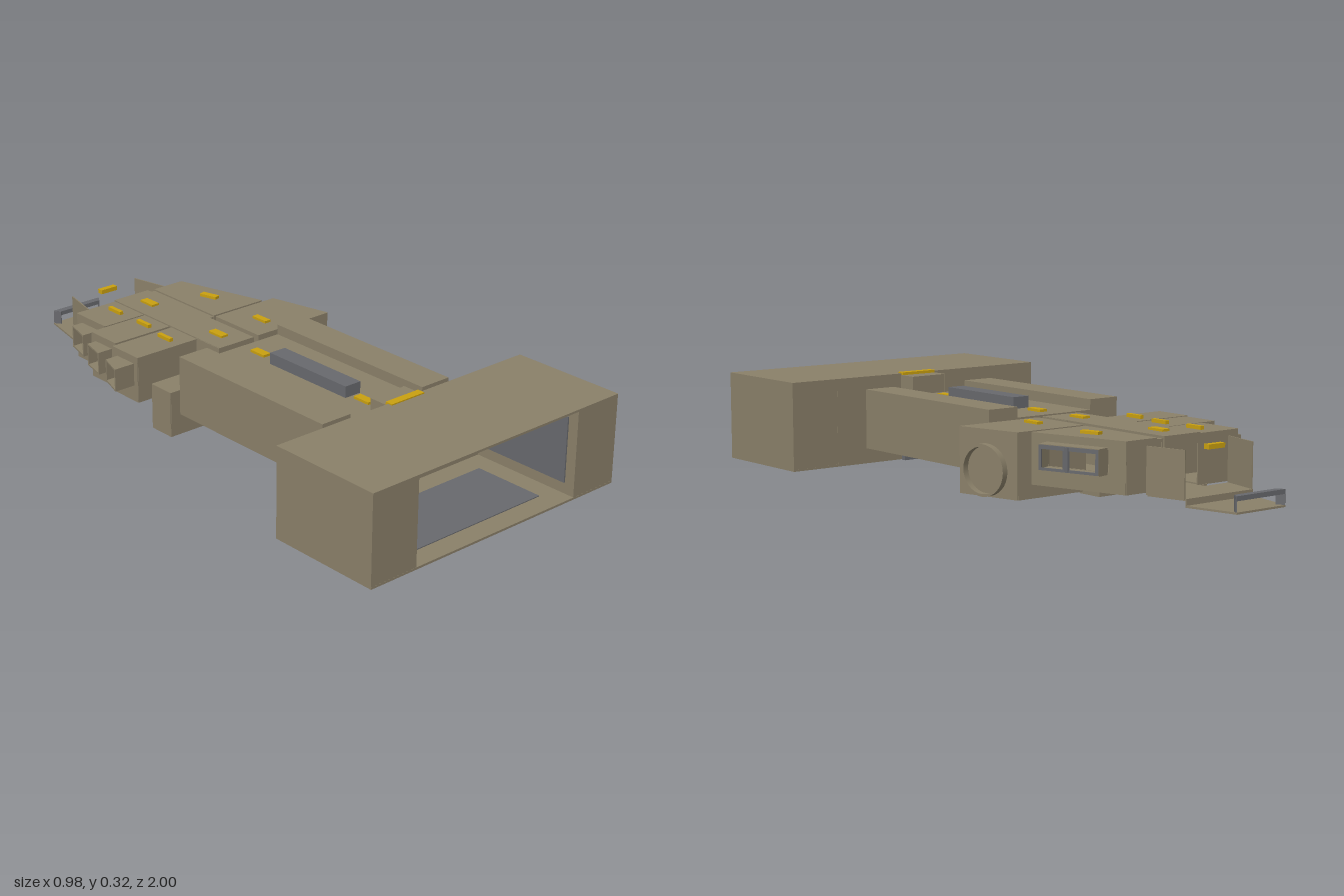
import * as THREE from 'three';

const mat = (name, color) => {
  const m = new THREE.MeshStandardMaterial({ color, side: THREE.DoubleSide });
  m.name = name;
  return m;
};

export function createModel() {
  const model = new THREE.Group();
  model.name = 'shipInterior';
  const hull = mat('hullTan', 0x8a8069);
  const metal = mat('metalGray', 0x68696d);
  const light = mat('lampYellow', 0xc9a010);

  const add = (parent, name, geo, m = hull) => {
    const mesh = new THREE.Mesh(geo, m);
    mesh.name = name;
    parent.add(mesh);
    return mesh;
  };
  const part = (name) => {
    const g = new THREE.Group();
    g.name = name;
    model.add(g);
    return g;
  };
  // box given by its limits
  const box = (parent, name, x0, x1, y0, y1, z0, z1, m) => {
    const g = new THREE.BoxGeometry(x1 - x0, y1 - y0, z1 - z0);
    return add(parent, name, g.translate((x0 + x1) / 2, (y0 + y1) / 2, (z0 + z1) / 2), m);
  };
  // horizontal slab from [x, z] corners
  const slab = (parent, name, pts, y0, y1, m) => {
    const s = new THREE.Shape(pts.map(([x, z]) => new THREE.Vector2(x, -z)));
    const g = new THREE.ExtrudeGeometry(s, { depth: y1 - y0, bevelEnabled: false });
    return add(parent, name, g.rotateX(-Math.PI / 2).translate(0, y0, 0), m);
  };
  // upright wall from a to b; hole = [start, end, bottom, top]
  const wall = (parent, name, a, b, y0, y1, hole, m) => {
    const len = Math.hypot(b[0] - a[0], b[1] - a[1]);
    const rect = (C, u0, u1, v0, v1) => new C([[u0, v0], [u1, v0], [u1, v1], [u0, v1]]
      .map(([u, v]) => new THREE.Vector2(u, v)));
    const s = rect(THREE.Shape, 0, len, y0, y1);
    if (hole) s.holes.push(rect(THREE.Path, ...hole));
    const g = new THREE.ExtrudeGeometry(s, { depth: 0.004, bevelEnabled: false }).translate(0, 0, -0.002);
    const w = add(parent, name, g, m);
    w.position.set(a[0], 0, a[1]);
    w.rotation.y = Math.atan2(a[1] - b[1], b[0] - a[0]);
    return w;
  };
  // hollow room: floor, roof and a wall on each edge unless that edge is open
  const room = (name, pts, y0, y1, open = [], holes = {}) => {
    const g = part(name);
    slab(g, 'floor', pts, y0, y0 + 0.005);
    slab(g, 'roof', pts, y1 - 0.005, y1);
    pts.forEach((p, i) => {
      if (!open.includes(i)) wall(g, 'wall', p, pts[(i + 1) % pts.length], y0, y1, holes[i]);
    });
    return g;
  };
  const rect = (x0, x1, z0, z1) => [[x0, z1], [x1, z1], [x1, z0], [x0, z0]];

  // hangar with open front and a doorway at the back
  const hangar = part('hangar');
  box(hangar, 'floor', -0.49, 0.49, 0.027, 0.034, 0.615, 1);
  box(hangar, 'roof', -0.49, 0.49, 0.308, 0.315, 0.615, 1);
  wall(hangar, 'backWall', [-0.32, 0.617], [0.32, 0.617], 0.027, 0.312, [0.255, 0.385, 0.03, 0.25]);
  for (const s of [-1, 1]) {
    box(hangar, 'sideBlock', s < 0 ? -0.49 : 0.32, s < 0 ? -0.32 : 0.49, 0.0275, 0.3145, 0.6155, 0.9995);
    box(hangar, 'sidePanel', s * 0.318 - 0.003, s * 0.318 + 0.003, 0.07, 0.28, 0.66, 0.965, metal);
  }
  box(hangar, 'floorPanel', -0.25, 0.25, 0.033, 0.037, 0.69, 0.93, metal);
  box(hangar, 'doorLamp', -0.065, 0.065, 0.29, 0.319, 0.606, 0.632, light);

  // neck with stairs
  const neck = part('neck');
  for (const x of [-0.065, 0.065]) {
    wall(neck, 'sideWall', [x, 0.545], [x, 0.615], 0.085, 0.31);
    slab(neck, 'stairSide', [[x - 0.002, 0.545], [x + 0.002, 0.545], [x + 0.002, 0.615], [x - 0.002, 0.615]], 0.05, 0.086, metal);
  }
  box(neck, 'roof', -0.065, 0.065, 0.25, 0.31, 0.548, 0.615);
  for (let i = 0; i < 4; i++) {
    box(neck, 'step', -0.065, 0.065, 0.025 + i * 0.016, 0.042 + i * 0.016, 0.598 - i * 0.017, 0.615 - i * 0.017, metal);
  }

  // main hall: raised side strips, sunken middle deck
  const hall = part('mainHall');
  const B = -0.105, F = 0.545;
  box(hall, 'floor', -0.255, 0.255, 0.09, 0.096, B, F);
  box(hall, 'middleDeck', -0.145, 0.145, 0.244, 0.25, B, F);
  for (const s of [-1, 1]) {
    const a = s * 0.145, b = s * 0.255;
    box(hall, 'sideStrip', Math.min(a, b), Math.max(a, b), 0.245, 0.283, B, F);
    wall(hall, 'sideWall', [s * 0.253, B], [s * 0.253, F], 0.09, 0.28);
  }
  for (const z of [B + 0.002, F - 0.002]) {
    wall(hall, 'endWall', [-0.255, z], [0.255, z], 0.09, 0.25, [0.19, 0.32, 0.094, 0.22]);
  }
  box(hall, 'centralCore', -0.03, 0.03, 0.078, 0.287, 0.06, 0.4, metal);

  // corridor spine
  const spine = part('corridor');
  box(spine, 'floor', -0.1, 0.1, 0.09, 0.096, -0.68, -0.135);
  box(spine, 'roof', -0.07, 0.07, 0.235, 0.251, -0.68, -0.135);
  box(spine, 'frontSill', -0.07, 0.07, 0.09, 0.096, -0.135, B);
  box(spine, 'rearSill', -0.07, 0.075, 0.09, 0.096, -0.71, -0.68);
  for (const z of [-0.137, -0.678]) {
    wall(spine, 'endWall', [-0.07, z], [0.07, z], 0.09, 0.25, [0.008, 0.132, 0.096, 0.22]);
  }
  box(spine, 'sideLink', 0.07, 0.1, 0.235, 0.244, -0.675, -0.365);
  box(spine, 'doorPlate', 0.07, 0.096, 0.096, 0.1, -0.24, -0.137, metal);
  for (const x of [-0.07, 0.07]) wall(spine, 'sideWall', [x, -0.25], [x, -0.135], 0.09, 0.25);

  // three cabins with tapered window boxes: [outer x, z back, z front, window z back, z front, reach]
  [[-0.225, -0.675, -0.525, -0.645, -0.56, 0.065],
    [-0.285, -0.515, -0.39, -0.49, -0.41, 0.055],
    [-0.305, -0.375, -0.25, -0.35, -0.27, 0.075]].forEach(([x, z0, z1, w0, w1, d]) => {
    const g = room('cabin', rect(x, -0.07, z0, z1), 0.095, 0.247, [1], { 3: [w0 - z0, w1 - z0, 0.155, 0.215] });
    const pts = [[x, w0], [x, w1], [x - d, w1], [x - d * 0.65, w0]];
    slab(g, 'windowSill', pts, 0.148, 0.153);
    slab(g, 'windowHood', pts, 0.217, 0.222);
    wall(g, 'windowSide', pts[1], pts[2], 0.148, 0.222);
    wall(g, 'windowSide', pts[3], pts[0], 0.148, 0.222);
  });

  // low locker below the corridor
  room('lowerLocker', rect(-0.26, -0.07, -0.237, -0.145), 0, 0.15);

  // large cabin with a split window
  const lounge = room('loungeCabin', [[0.095, -0.365], [0.3, -0.365], [0.21, -0.675], [0.095, -0.675]],
    0.095, 0.249, [3], { 1: [0.06, 0.265, 0.155, 0.22] });
  const bay = [[0.285, -0.42], [0.33, -0.435], [0.27, -0.625], [0.228, -0.615]];
  slab(lounge, 'baySill', bay, 0.148, 0.154);
  slab(lounge, 'bayHood', bay, 0.22, 0.226);
  wall(lounge, 'baySide', bay[0], bay[1], 0.148, 0.226);
  wall(lounge, 'baySide', bay[2], bay[3], 0.148, 0.226);
  wall(lounge, 'bayFrame', bay[1], bay[2], 0.15, 0.224, [0.008, 0.19, 0.158, 0.212], metal);
  box(lounge, 'bayPost', 0.298, 0.306, 0.152, 0.222, -0.532, -0.51, metal);

  // airlock room with round hatch on its slanted side
  const lock = room('airlock', [[0.095, -0.14], [0.39, -0.14], [0.34, -0.35], [0.095, -0.35]], 0.05, 0.25);
  const hatch = new THREE.Group();
  hatch.name = 'hatch';
  add(hatch, 'rim', new THREE.CylinderGeometry(0.078, 0.078, 0.036, 32, 1, true).rotateZ(Math.PI / 2));
  add(hatch, 'rimEdge', new THREE.RingGeometry(0.07, 0.078, 32).rotateY(Math.PI / 2).translate(0.018, 0, 0));
  add(hatch, 'rimInside', new THREE.CylinderGeometry(0.07, 0.07, 0.036, 32, 1, true).rotateZ(Math.PI / 2));
  hatch.position.set(0.372, 0.13, -0.24);
  hatch.rotation.y = Math.atan2(0.05, 0.21);
  lock.add(hatch);

  // open cockpit with side wings, lower nose floor and a console rail
  const cockpit = part('cockpit');
  slab(cockpit, 'upperFloor', [[-0.16, -0.71], [0.16, -0.71], [0.13, -0.835], [-0.13, -0.835]], 0.092, 0.098);
  slab(cockpit, 'noseFloor', [[-0.13, -0.835], [0.13, -0.835], [0.095, -1], [-0.095, -1]], 0.073, 0.079);
  wall(cockpit, 'floorStep', [-0.13, -0.835], [0.13, -0.835], 0.073, 0.098);
  for (const s of [-1, 1]) {
    wall(cockpit, 'wing', [s * 0.16, -0.705], [s * 0.131, -0.832], 0.095, 0.235);
    wall(cockpit, 'railPost', [s * 0.095, -0.998], [s * 0.08, -0.976], 0.079, 0.123, null, metal);
  }
  slab(cockpit, 'consoleRail', [[-0.08, -0.976], [0.08, -0.976], [0.095, -0.999], [-0.095, -0.999]], 0.11, 0.124, metal);
  box(cockpit, 'lamp', -0.032, 0.032, 0.226, 0.24, -0.822, -0.802, light);

  // roof lamps: [x, z, width, turn]
  const lamps = part('roofLamps');
  [[0, 0.45, 0.028, 0], [0, -0.02, 0.028, 0], [0, -0.225, 0.028, 0], [0, -0.58, 0.028, 0],
    [0.185, -0.23, 0.022, 0], [0.19, -0.5, 0.022, 0.28],
    [-0.125, -0.6, 0.014, 0], [-0.125, -0.45, 0.014, 0], [-0.145, -0.315, 0.014, 0]].forEach(([x, z, w, turn]) => {
    const l = add(lamps, 'lamp', new THREE.BoxGeometry(w, 0.012, 0.062), light);
    l.position.set(x, 0.252, z);
    l.rotation.y = turn;
  });
  return model;
}
